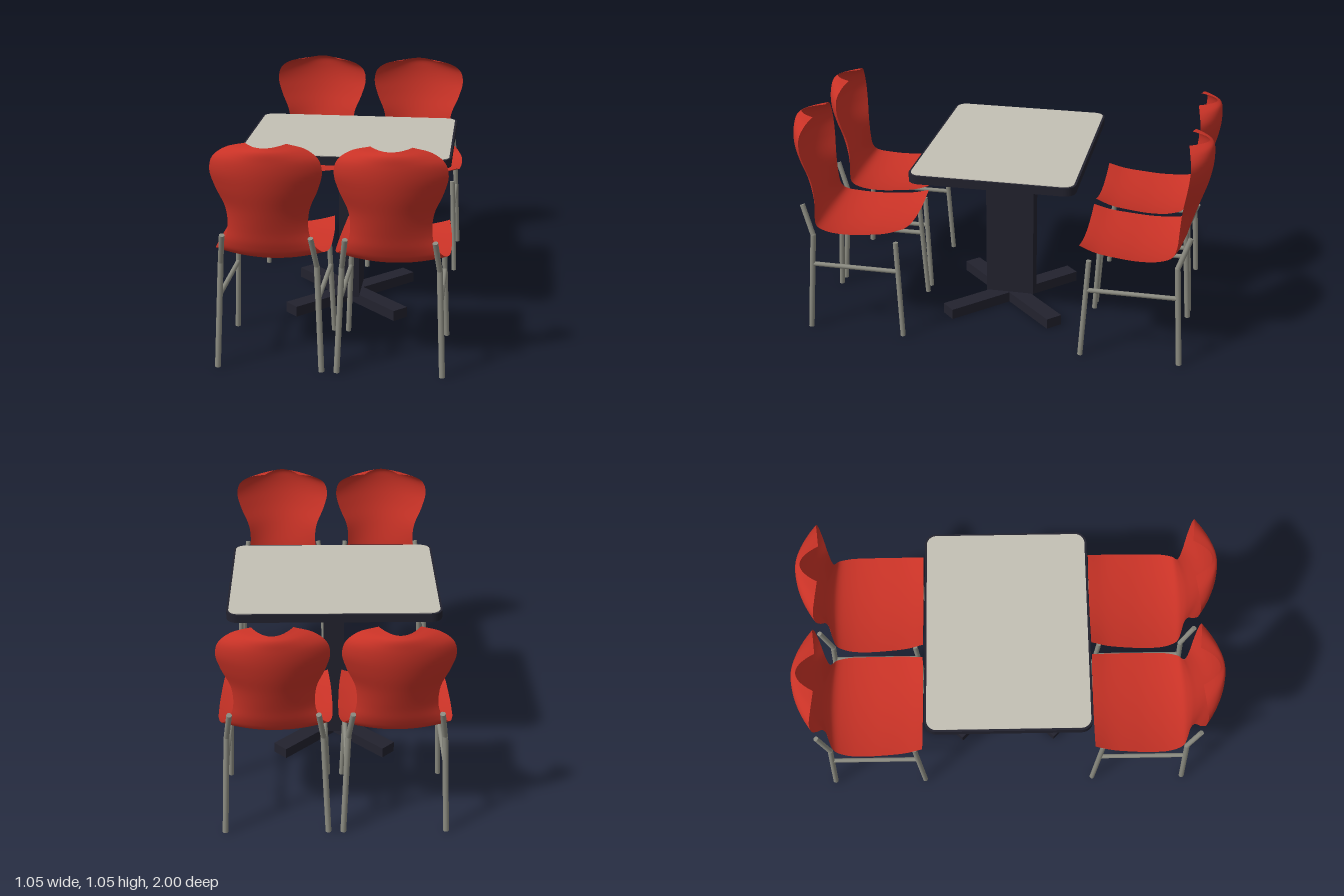
import * as THREE from 'three';

const mat = (name, color, side = THREE.FrontSide) => {
  const m = new THREE.MeshStandardMaterial({ color, side });
  m.name = name;
  return m;
};

const red = mat('red shell', 0xc83226, THREE.DoubleSide);
const dark = mat('dark frame', 0x22222e);
const stone = mat('pale table surface', 0xc4c0b5);
const metal = mat('grey metal', 0x8a8a80);

function add(parent, name, geometry, material, x = 0, y = 0, z = 0) {
  const mesh = new THREE.Mesh(geometry, material);
  mesh.name = name;
  mesh.position.set(x, y, z);
  parent.add(mesh);
  return mesh;
}

// Flat slab with rounded corners, lying in xz with its underside at y = 0
function slab(w, d, r, h) {
  const x = w / 2, y = d / 2;
  const s = new THREE.Shape();
  s.moveTo(-x + r, -y);
  s.lineTo(x - r, -y).absarc(x - r, -y + r, r, -Math.PI / 2, 0);
  s.lineTo(x, y - r).absarc(x - r, y - r, r, 0, Math.PI / 2);
  s.lineTo(-x + r, y).absarc(-x + r, y - r, r, Math.PI / 2, Math.PI);
  s.lineTo(-x, -y + r).absarc(-x + r, -y + r, r, Math.PI, Math.PI * 1.5);
  return new THREE.ExtrudeGeometry(s, { depth: h, bevelEnabled: false, curveSegments: 8 })
    .rotateX(-Math.PI / 2);
}

// Straight rod between two points
function rod(parent, name, a, b, r) {
  const from = new THREE.Vector3(...a), to = new THREE.Vector3(...b);
  const mesh = add(parent, name, new THREE.CylinderGeometry(r, r, from.distanceTo(to), 12), metal);
  mesh.position.copy(from).add(to).multiplyScalar(0.5);
  mesh.quaternion.setFromUnitVectors(new THREE.Vector3(0, 1, 0), to.sub(from).normalize());
}

// Seat and back in one sheet: a middle line and a side line joined by curved sections
function shellGeometry() {
  // [middle y, middle z, side y, side z, half width], from seat front to top of back
  const sections = [
    [0.535, 0.42, 0.575, 0.42, 0.238],
    [0.515, 0.50, 0.55, 0.50, 0.249],
    [0.500, 0.60, 0.537, 0.60, 0.255],
    [0.492, 0.70, 0.53, 0.70, 0.257],
    [0.499, 0.80, 0.535, 0.79, 0.252],
    [0.522, 0.865, 0.552, 0.85, 0.232],
    [0.575, 0.895, 0.59, 0.868, 0.200],
    [0.65, 0.918, 0.65, 0.872, 0.180],
    [0.75, 0.950, 0.75, 0.880, 0.185],
    [0.85, 0.982, 0.85, 0.895, 0.225],
    [0.93, 0.998, 0.93, 0.907, 0.245],
    [0.99, 1.000, 0.99, 0.910, 0.230],
    [1.032, 0.993, 1.03, 0.900, 0.175],
    [1.048, 0.972, 1.048, 0.888, 0.090],
  ];
  const middle = new THREE.CatmullRomCurve3(sections.map(s => new THREE.Vector3(0, s[0], s[1])));
  const side = new THREE.CatmullRomCurve3(sections.map(s => new THREE.Vector3(s[4], s[2], s[3])));
  const rows = 65, cols = 24, pos = [], index = [];
  for (let i = 0; i <= rows; i++) {
    const m = middle.getPoint(i / rows), e = side.getPoint(i / rows);
    for (let j = 0; j <= cols; j++) {
      const t = (j / cols) * 2 - 1, k = t * t;
      pos.push(e.x * t, m.y + (e.y - m.y) * k, m.z + (e.z - m.z) * k);
      if (i < rows && j < cols) {
        const a = i * (cols + 1) + j, b = a + cols + 1;
        index.push(a, b, a + 1, a + 1, b, b + 1);
      }
    }
  }
  const g = new THREE.BufferGeometry();
  g.setAttribute('position', new THREE.Float32BufferAttribute(pos, 3));
  g.setIndex(index);
  g.computeVertexNormals();
  return g;
}

function makeChair(shell) {
  const chair = new THREE.Group();
  chair.name = 'chair';
  add(chair, 'seatShell', shell, red);
  for (const s of [-1, 1]) {
    const knee = [s * 0.215, 0.49, 0.876];
    rod(chair, 'rearLeg', [s * 0.236, 0, 0.907], knee, 0.0135);
    rod(chair, 'backSupport', knee, [s * 0.195, 0.638, 0.928], 0.0125);
    add(chair, 'legBend', new THREE.SphereGeometry(0.0135, 12, 8), metal, ...knee);
    rod(chair, 'frontLeg', [s * 0.236, 0, 0.437], [s * 0.215, 0.49, 0.465], 0.0125);
    rod(chair, 'sideRail', [s * 0.222, 0.34, 0.457], [s * 0.222, 0.34, 0.885], 0.011);
  }
  return chair;
}

export function createModel() {
  const model = new THREE.Group();
  model.name = 'diningSet';

  // Table
  const table = new THREE.Group();
  table.name = 'table';
  model.add(table);
  add(table, 'tableTop', slab(1.01, 0.79, 0.055, 0.04), dark, 0, 0.812, 0);
  add(table, 'tableSurface', slab(0.99, 0.77, 0.046, 0.004), stone, 0, 0.851, 0);
  add(table, 'column', new THREE.BoxGeometry(0.1, 0.77, 0.24), dark, 0, 0.43, 0);
  for (const s of [-1, 1]) {
    add(table, 'foot', new THREE.BoxGeometry(0.764, 0.052, 0.085), dark, 0, 0.026, 0)
      .rotation.y = s * Math.PI / 4;
  }

  // Two chairs on each long side, facing the table
  const shell = shellGeometry();
  for (const turn of [0, Math.PI]) {
    for (const x of [-0.27, 0.27]) {
      const chair = makeChair(shell);
      chair.position.x = x;
      chair.rotation.y = turn;
      model.add(chair);
    }
  }
  return model;
}
